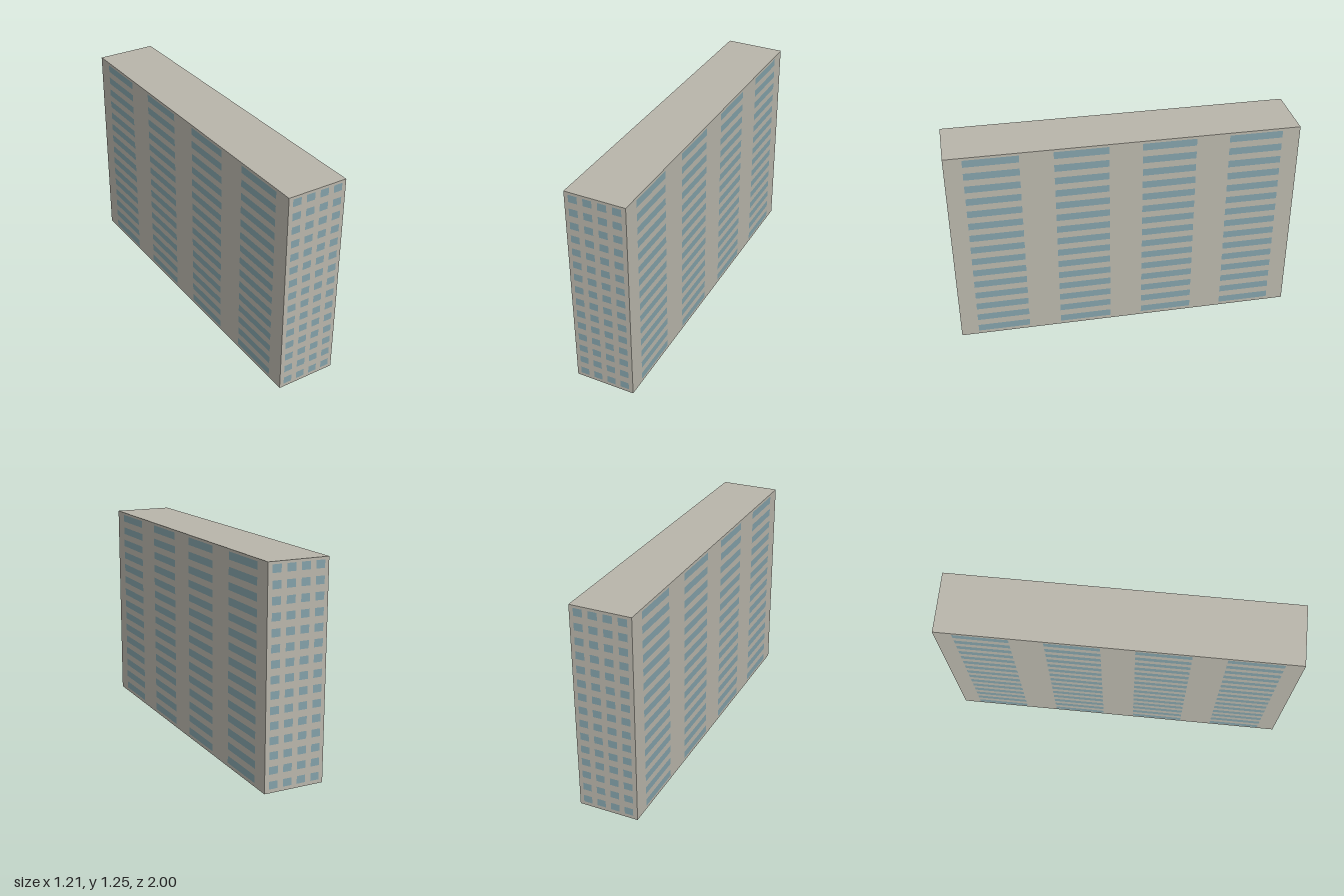
import * as THREE from 'three';
import { mergeGeometries } from 'three/addons/utils/BufferGeometryUtils.js';

const LENGTH = 2.044, DEPTH = 0.359, HEIGHT = 1.246;
const ROWS = 15, COLUMNS = 4;
const ROW_PITCH = 0.0832, FIRST_ROW = 0.0447, WINDOW_HEIGHT = 0.044;

const concrete = new THREE.MeshStandardMaterial({ color: 0xb8b5aa, side: THREE.DoubleSide });
concrete.name = 'concrete';
const glass = new THREE.MeshStandardMaterial({ color: 0x82a0a8 });
glass.name = 'blueGlass';

// Grid of thin panes lying just in front of a wall
function windowGrid(pitch, paneWidth) {
  const panes = [];
  for (let row = 0; row < ROWS; row++) {
    for (let col = 0; col < COLUMNS; col++) {
      panes.push(new THREE.PlaneGeometry(paneWidth, WINDOW_HEIGHT)
        .translate((col - (COLUMNS - 1) / 2) * pitch, FIRST_ROW + row * ROW_PITCH, 0.002));
    }
  }
  return mergeGeometries(panes);
}

// Wall with its windows, facing +z before it is turned into place
function facade(name, width, distance, angle, pitch, paneWidth) {
  const group = new THREE.Group();
  group.name = name;
  const wall = new THREE.Mesh(new THREE.PlaneGeometry(width, HEIGHT).translate(0, HEIGHT / 2, 0), concrete);
  wall.name = 'wall';
  const windows = new THREE.Mesh(windowGrid(pitch, paneWidth), glass);
  windows.name = 'windows';
  group.add(wall, windows);
  group.rotation.y = angle;
  group.position.set(Math.sin(angle) * distance, 0, Math.cos(angle) * distance);
  return group;
}

export function createModel() {
  const model = new THREE.Group();
  model.name = 'apartmentBlock';
  const block = new THREE.Group();
  block.name = 'block';
  block.rotation.y = 0.4478;
  model.add(block);

  // Opposite pairs of narrow end walls and long side walls
  for (const [prefix, turn] of [['front', 0], ['back', Math.PI]]) {
    block.add(facade(prefix + 'EndWall', DEPTH, LENGTH / 2, turn, 0.0855, 0.0525));
  }
  for (const [prefix, turn] of [['left', Math.PI / 2], ['right', -Math.PI / 2]]) {
    block.add(facade(prefix + 'LongWall', LENGTH, DEPTH / 2, turn, 0.507, 0.314));
  }

  // Flat roof; the underside of the block stays open
  const roof = new THREE.Mesh(new THREE.PlaneGeometry(DEPTH, LENGTH).rotateX(-Math.PI / 2), concrete);
  roof.name = 'roof';
  roof.position.y = HEIGHT;
  block.add(roof);

  return model;
}
